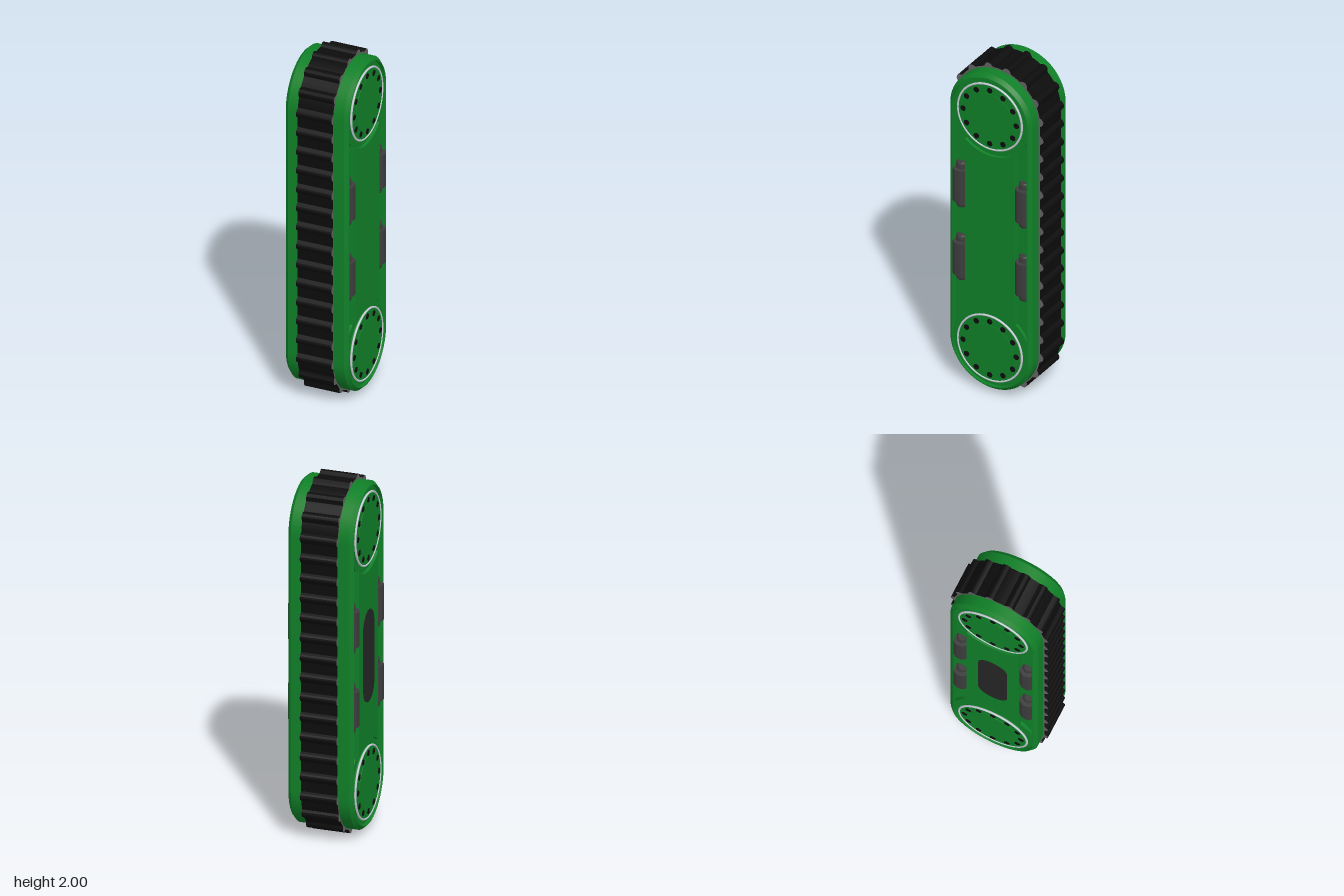
import * as THREE from 'three';
import { toCreasedNormals } from 'three/addons/utils/BufferGeometryUtils.js';

const HUB = 0.72; // hub height above and below the middle
const mat = (color) => new THREE.MeshStandardMaterial({ color });
const green = mat(0x108028);
const black = mat(0x0c0c0c);
const grey = mat(0x626262);
const dark = mat(0x3c3c3c);
const slotDark = mat(0x262626);
const silver = mat(0xc4ccd4);

function add(parent, name, geometry, material, x = 0, y = 0, z = 0) {
  const mesh = new THREE.Mesh(geometry, material);
  mesh.name = name;
  mesh.position.set(x, y, z);
  parent.add(mesh);
  return mesh;
}

// Sweeps a profile of [radius, depth] pairs round an upright stadium
function sweepStadium(profile, arcSteps = 32) {
  const loop = [];
  for (const half of [0, 1]) {
    for (let i = 0; i <= arcSteps; i++) {
      loop.push([(half + i / arcSteps) * Math.PI, half ? -HUB : HUB]);
    }
  }
  const n = loop.length, pos = [], index = [];
  for (const [r, d] of profile) {
    for (const [a, cy] of loop) pos.push(r * Math.cos(a), cy + r * Math.sin(a), d);
  }
  for (let j = 0; j < profile.length - 1; j++) {
    for (let i = 0; i < n; i++) {
      const a = j * n + i, b = j * n + (i + 1) % n;
      index.push(a, b, a + n, b, b + n, a + n);
    }
  }
  const g = new THREE.BufferGeometry();
  g.setAttribute('position', new THREE.Float32BufferAttribute(pos, 3));
  g.setIndex(index);
  return toCreasedNormals(g, 0.5);
}

// Belt outline: a stadium with evenly spaced round cleats
function beltGeometry() {
  const R = 0.26, base = 0.263, cleat = 0.024, count = 40, steps = 14;
  const straight = 2 * HUB, arc = Math.PI * R, total = 2 * (straight + arc);
  const pitch = total / count, points = [];
  for (let k = 0; k < count * steps; k++) {
    const s = (k / (count * steps)) * total;
    // distance to the nearest cleat; cleats straddle the top centre
    const ds = ((((s - arc / 2) % pitch) + pitch) % pitch) - pitch / 2;
    const r = Math.max(base, R + Math.sqrt(Math.max(0, cleat * cleat - ds * ds)));
    const flip = s >= total / 2 ? -1 : 1;
    const t = s % (total / 2);
    if (t < arc) {
      points.push(new THREE.Vector2(flip * r * Math.cos(t / R), flip * (HUB + r * Math.sin(t / R))));
    } else {
      points.push(new THREE.Vector2(-flip * r, flip * (HUB - (t - arc))));
    }
  }
  return new THREE.ExtrudeGeometry(new THREE.Shape(points), { depth: 0.204, bevelEnabled: false }).translate(0, 0, -0.102);
}

// Disc whose axis is the outward direction
function disc(radius, from, to, segments = 64) {
  return new THREE.CylinderGeometry(radius, radius, to - from, segments)
    .rotateX(Math.PI / 2).translate(0, 0, (from + to) / 2);
}

// Hub cover with ring and bolts
function makeHub() {
  const hub = new THREE.Group();
  hub.name = 'hub';
  add(hub, 'hubBoss', disc(0.24, 0.12, 0.163), green);
  add(hub, 'hubCover', disc(0.195, 0.15, 0.179), green);
  add(hub, 'hubCentre', disc(0.145, 0.17, 0.182), green);
  add(hub, 'hubRing', new THREE.TorusGeometry(0.198, 0.006, 10, 72), silver, 0, 0, 0.177);
  for (let i = 0; i < 12; i++) {
    const a = (i / 12) * Math.PI * 2;
    add(hub, 'hubBolt', disc(0.016, 0.17, 0.182, 16), black, 0.165 * Math.cos(a), 0.165 * Math.sin(a));
  }
  return hub;
}

// Raised middle panel, cut round both hubs
function panelGeometry() {
  const w = 0.152, r = 0.24, a = Math.acos(w / r);
  const shape = new THREE.Shape();
  shape.absarc(0, -HUB, r, a, Math.PI - a, false);
  shape.absarc(0, HUB, r, Math.PI + a, 2 * Math.PI - a, false);
  return new THREE.ExtrudeGeometry(shape, { depth: 0.041, bevelEnabled: false, curveSegments: 24 }).translate(0, 0, 0.14);
}

// Roller with narrow rounded ends
function rollerGeometry() {
  const half = [[0.05, 0.1], [0.03, 0.101], [0.03, 0.13], [0.024, 0.139], [0, 0.14]];
  const points = [
    ...half.map(([r, y]) => new THREE.Vector2(r, -y)).reverse(),
    ...half.map(([r, y]) => new THREE.Vector2(r, y)),
  ];
  return toCreasedNormals(new THREE.LatheGeometry(points, 32), 0.6);
}

// One outer face, built facing +z
function makeSide() {
  const side = new THREE.Group();
  add(side, 'middlePanel', panelGeometry(), green);
  for (const sy of [-1, 1]) {
    const hub = makeHub();
    hub.position.y = sy * HUB;
    side.add(hub);
    for (const sx of [-1, 1]) add(side, 'roller', rollerGeometry(), dark, sx * 0.194, sy * 0.227, 0.145);
  }
  return side;
}

export function createModel() {
  const model = new THREE.Group();
  model.name = 'trackUnit';
  const unit = new THREE.Group();
  unit.name = 'trackBody';
  unit.position.y = 1;
  model.add(unit);

  // Housing with bevelled rim and sunken floor on both faces
  const half = [[0.255, 0.162], [0.236, 0.182], [0.231, 0.182], [0.231, 0.145], [0.1, 0.145]];
  const profile = [...half.map(([r, d]) => [r, -d]).reverse(), ...half];
  add(unit, 'housing', sweepStadium(profile), green).rotation.y = Math.PI / 2;
  add(unit, 'belt', beltGeometry(), [grey, black]).rotation.y = Math.PI / 2;

  for (const s of [1, -1]) {
    const side = makeSide();
    side.name = s > 0 ? 'leftSide' : 'rightSide';
    side.rotation.y = (s * Math.PI) / 2;
    unit.add(side);
    // Dark slot plate on one face only
    if (s < 0) {
      const slot = new THREE.Shape();
      slot.absarc(0, 0.175, 0.085, 0, Math.PI, false);
      slot.absarc(0, -0.175, 0.085, Math.PI, 2 * Math.PI, false);
      add(side, 'slotPlate', new THREE.ExtrudeGeometry(slot, { depth: 0.003, bevelEnabled: false, curveSegments: 24 }), slotDark, 0, 0, 0.18);
    }
  }
  return model;
}
